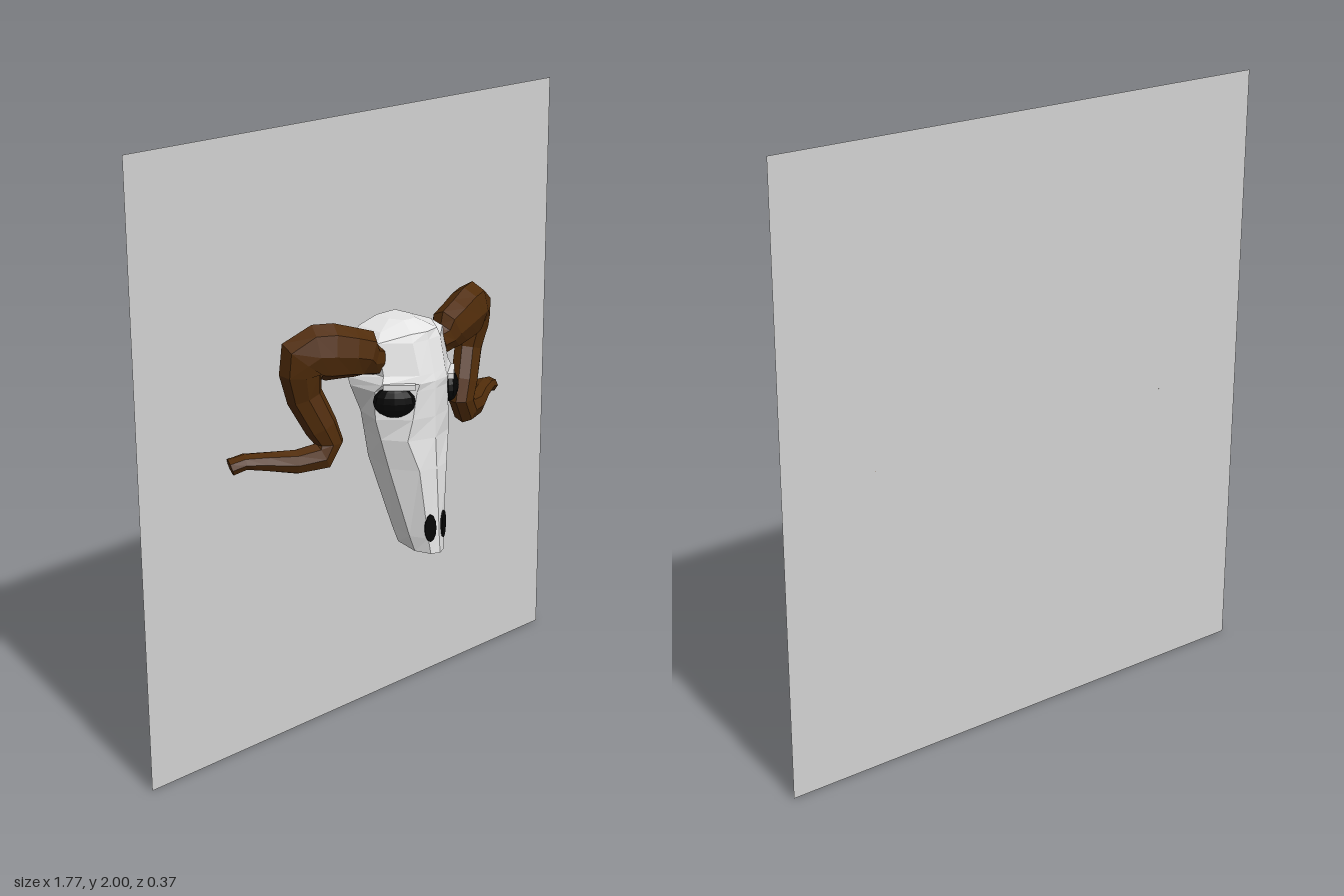
import * as THREE from 'three';

// Faceted skin over equal-length rings (counter-clockwise about the path), capped at both ends
function loft(rings) {
  const pos = [];
  const tri = (...pts) => pts.forEach((p) => pos.push(p.x, p.y, p.z));
  const middle = (r) => r.reduce((m, p) => m.add(p), new THREE.Vector3()).divideScalar(r.length);
  const n = rings[0].length, last = rings[rings.length - 1];
  for (let i = 0; i < rings.length - 1; i++) {
    for (let j = 0; j < n; j++) {
      const k = (j + 1) % n;
      tri(rings[i][j], rings[i][k], rings[i + 1][k]);
      tri(rings[i][j], rings[i + 1][k], rings[i + 1][j]);
    }
  }
  const a = middle(rings[0]), b = middle(last);
  for (let j = 0; j < n; j++) {
    const k = (j + 1) % n;
    tri(a, rings[0][k], rings[0][j]);
    tri(b, last[j], last[k]);
  }
  const g = new THREE.BufferGeometry();
  g.setAttribute('position', new THREE.Float32BufferAttribute(pos, 3));
  g.computeVertexNormals();
  return g;
}

// Horn: eight-sided oval rings along a curling path of [x, y, z, width radius, depth radius]
function hornGeometry(side) {
  const path = [
    [0.13, 1.285, 0.035, 0.05, 0.04], [0.165, 1.295, 0.033, 0.055, 0.045], [0.18, 1.312, 0.03, 0.076, 0.055],
    [0.23, 1.325, 0.02, 0.08, 0.058], [0.295, 1.337, 0, 0.09, 0.06], [0.335, 1.342, -0.015, 0.088, 0.06],
    [0.365, 1.325, -0.035, 0.088, 0.06], [0.373, 1.28, -0.045, 0.068, 0.058], [0.358, 1.2, -0.045, 0.058, 0.045],
    [0.315, 1.1, -0.02, 0.053, 0.045], [0.292, 1.045, -0.01, 0.047, 0.042], [0.315, 1.005, -0.015, 0.047, 0.042],
    [0.39, 0.995, -0.05, 0.039, 0.04], [0.47, 1.003, -0.1, 0.03, 0.037], [0.53, 1.01, -0.13, 0.024, 0.036],
    [0.57, 0.997, -0.15, 0.026, 0.034],
  ];
  const pts = path.map(([x, y, z]) => new THREE.Vector3(x * side, y, z));
  const facing = new THREE.Vector3(0.38 * side, 0, 0.92);
  const rings = pts.map((p, i) => {
    const before = pts[Math.max(i - 1, 0)], after = pts[Math.min(i + 1, pts.length - 1)];
    const t = after.clone().sub(before).normalize();
    const n = facing.clone().addScaledVector(t, -facing.dot(t)).normalize();
    const b = t.clone().cross(n);
    return Array.from({ length: 8 }, (_, j) => {
      const a = (j * Math.PI) / 4;
      return p.clone().addScaledVector(n, Math.cos(a) * path[i][4]).addScaledVector(b, Math.sin(a) * path[i][3]);
    });
  });
  return loft(rings);
}

// Skull: horizontal sections, [height, ridge z, then x, z of front edge, side and back corner]
function skullGeometry() {
  const sections = [
    [0.648, 0.185, 0.028, 0.172, 0.048, 0.12, 0.03, 0.025],
    [0.7, 0.181, 0.034, 0.166, 0.062, 0.11, 0.038, 0.005],
    [0.93, 0.168, 0.06, 0.152, 0.113, 0.07, 0.075, -0.065],
    [1.03, 0.162, 0.09, 0.13, 0.138, 0.06, 0.095, -0.065],
    [1.1, 0.16, 0.078, 0.14, 0.157, 0.055, 0.13, -0.04],
    [1.19, 0.16, 0.066, 0.146, 0.158, 0.055, 0.165, -0.05],
    [1.215, 0.16, 0.06, 0.152, 0.152, 0.08, 0.165, -0.06],
    [1.24, 0.153, 0.056, 0.147, 0.14, 0.075, 0.14, -0.07],
    [1.34, 0.127, 0.06, 0.12, 0.14, 0.05, 0.135, -0.075],
    [1.365, 0.122, 0.055, 0.11, 0.11, 0.03, 0.1, -0.075],
    [1.39, 0.05, 0.025, 0.045, 0.045, 0, 0.04, -0.06],
  ];
  return loft(sections.map(([y, ridge, ...c]) => {
    const half = [0, 2, 4].map((i) => new THREE.Vector3(c[i], y, c[i + 1]));
    const mirrored = half.map((p) => new THREE.Vector3(-p.x, p.y, p.z)).reverse();
    return [new THREE.Vector3(0, y, ridge), ...half, ...mirrored];
  }));
}

export function createModel() {
  const paint = (name, color) => {
    const m = new THREE.MeshStandardMaterial({ color });
    m.name = name;
    return m;
  };
  const bone = paint('bone', 0xe6e6e6);
  const hornBrown = paint('horn brown', 0x502c0a);
  const black = paint('black', 0x050505);
  const grey = paint('wall grey', 0xd2d2d2);
  bone.flatShading = hornBrown.flatShading = black.flatShading = true;
  grey.side = THREE.DoubleSide;

  const model = new THREE.Group();
  const add = (parent, name, geometry, material) => {
    const mesh = new THREE.Mesh(geometry, material);
    mesh.name = name;
    parent.add(mesh);
    return mesh;
  };

  // Backing panel
  add(model, 'backPanel', new THREE.PlaneGeometry(1.775, 2), grey).position.set(0, 1, -0.18);

  // Skull with horns and dark openings, hung slightly off centre
  const head = new THREE.Group();
  head.name = 'hornedSkull';
  head.position.x = 0.008;
  model.add(head);
  add(head, 'skull', skullGeometry(), bone);

  const disc = new THREE.CylinderGeometry(1, 1, 0.008, 12).rotateX(Math.PI / 2);
  const bulge = new THREE.SphereGeometry(1, 12, 8);
  const ledge = new THREE.BoxGeometry(0.1, 0.018, 0.03);
  for (const side of [1, -1]) {
    const label = side > 0 ? 'left' : 'right';
    add(head, label + 'Horn', hornGeometry(side), hornBrown);

    const eye = add(head, label + 'Eye', bulge, black);
    eye.scale.set(0.066, 0.05, 0.032);
    eye.position.set(0.119 * side, 1.16, 0.1);
    eye.rotation.y = 0.76 * side;

    const brow = add(head, label + 'Brow', ledge, bone);
    brow.position.set(0.11 * side, 1.21, 0.112);
    brow.rotation.y = 0.76 * side;

    const nostril = add(head, label + 'Nostril', disc, black);
    nostril.scale.set(0.019, 0.046, 1);
    nostril.position.set(0.028 * side, 0.735, 0.169);
    nostril.rotation.y = 0.45 * side;
  }
  return model;
}
